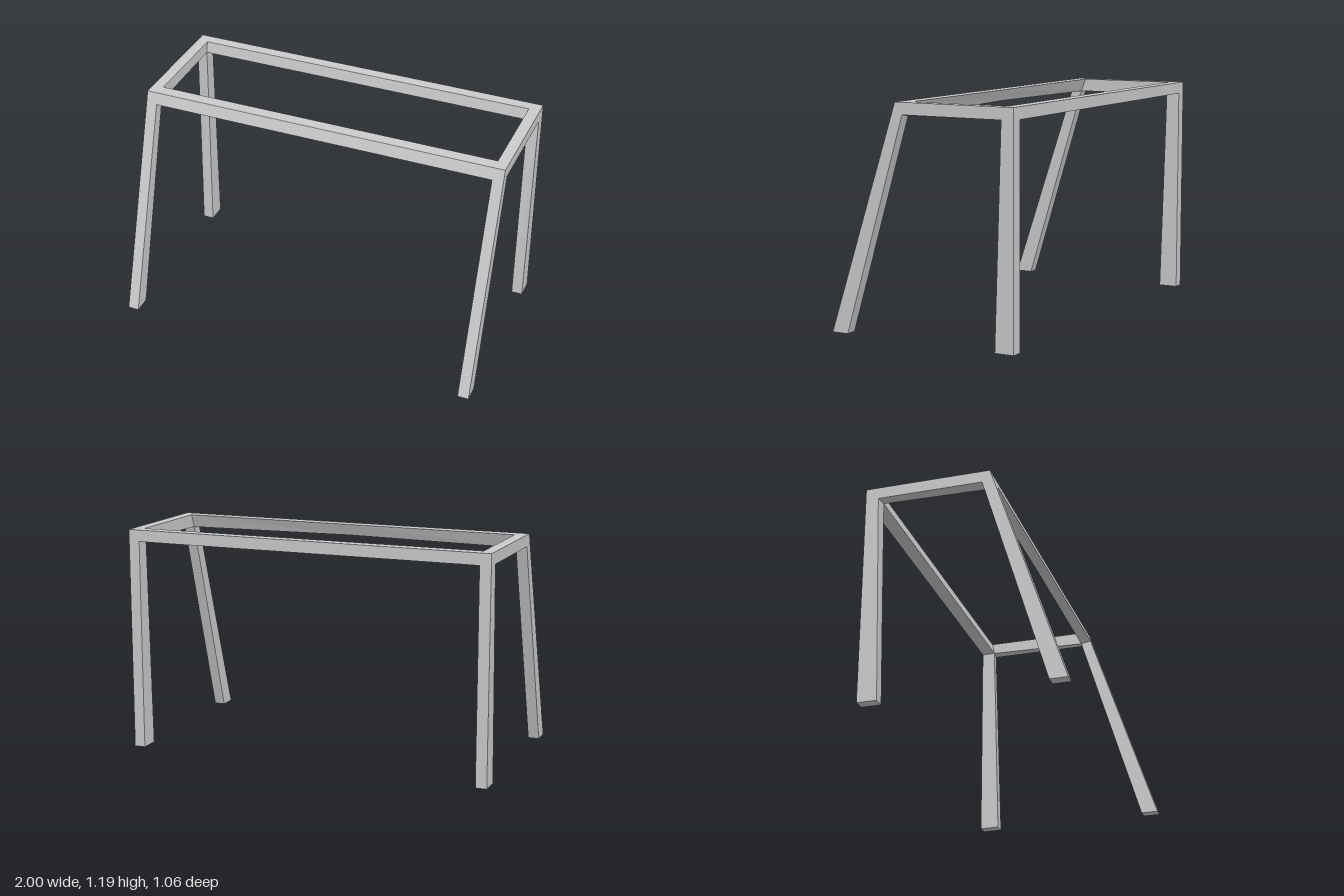
import * as THREE from 'three';

const material = new THREE.MeshStandardMaterial({ color: 0xcccccc, flatShading: true });

// Loft through four-cornered rings; each ring runs counter-clockwise seen from the loft's far end.
function loft(name, rings, capStart = false, capEnd = false) {
  const pos = [];
  const quad = (a, b, c, d) => pos.push(...a, ...b, ...c, ...a, ...c, ...d);
  for (let r = 0; r < rings.length - 1; r++) {
    const a = rings[r], b = rings[r + 1];
    for (let i = 0; i < 4; i++) {
      const j = (i + 1) % 4;
      quad(a[i], a[j], b[j], b[i]);
    }
  }
  if (capStart) quad(...[...rings[0]].reverse());
  if (capEnd) quad(...rings[rings.length - 1]);
  const geometry = new THREE.BufferGeometry();
  geometry.setAttribute('position', new THREE.Float32BufferAttribute(pos, 3));
  geometry.computeVertexNormals();
  const mesh = new THREE.Mesh(geometry, material);
  mesh.name = name;
  return mesh;
}

// Reflect rings across x = 0, keeping the faces outward.
const mirror = (rings) => rings.map((ring) => ring.map(([x, y, z]) => [-x, y, z]).reverse());

export function createModel() {
  const group = new THREE.Group();
  const top = 1.192, under = 1.13, outer = 1, inner = 0.94, back = -0.53;
  const stations = [-outer, -inner, 0, inner, outer];

  // Long rails, running the full width; the front one leans with its legs
  group.add(loft('frontRail', stations.map((x) => {
    const end = Math.abs(x) === outer, corner = Math.abs(x) === inner;
    return [
      [x, top, 0.137], [x, under, 0.157],
      [x, corner ? 1.12 : under, end ? 0.095 : 0.098], [x, top, 0.07],
    ];
  }), true, true));
  group.add(loft('backRail', stations.map((x) => [
    [x, top, -0.467], [x, under, Math.abs(x) === outer ? -0.462 : -0.455],
    [x, under, back], [x, top, back],
  ]), true, true));

  // Short side rails between the long ones
  const sideRail = [
    [[outer, top, -0.467], [inner, top, -0.467], [inner, under, -0.455], [outer, under, -0.462]],
    [[outer, top, 0.07], [inner, top, 0.07], [inner, 1.12, 0.098], [outer, under, 0.095]],
  ];
  // Splayed front legs
  const frontLeg = [
    [[outer, 0, 0.53], [outer, 0, 0.437], [inner, 0, 0.437], [inner, 0, 0.53]],
    [[outer, under, 0.157], [outer, under, 0.095], [inner, 1.12, 0.098], [inner, under, 0.157]],
  ];
  // Upright back legs, slightly tapered on the inside
  const backLeg = [
    [[outer, 0, -0.425], [outer, 0, back], [inner, 0, back], [inner, 0, -0.425]],
    [[outer, under, -0.462], [outer, under, back], [inner, under, back], [inner, under, -0.455]],
  ];
  for (const [side, place] of [['left', (r) => r], ['right', mirror]]) {
    group.add(loft(side + 'SideRail', place(sideRail)));
    group.add(loft(side + 'FrontLeg', place(frontLeg), true));
    group.add(loft(side + 'BackLeg', place(backLeg), true));
  }
  return group;
}
